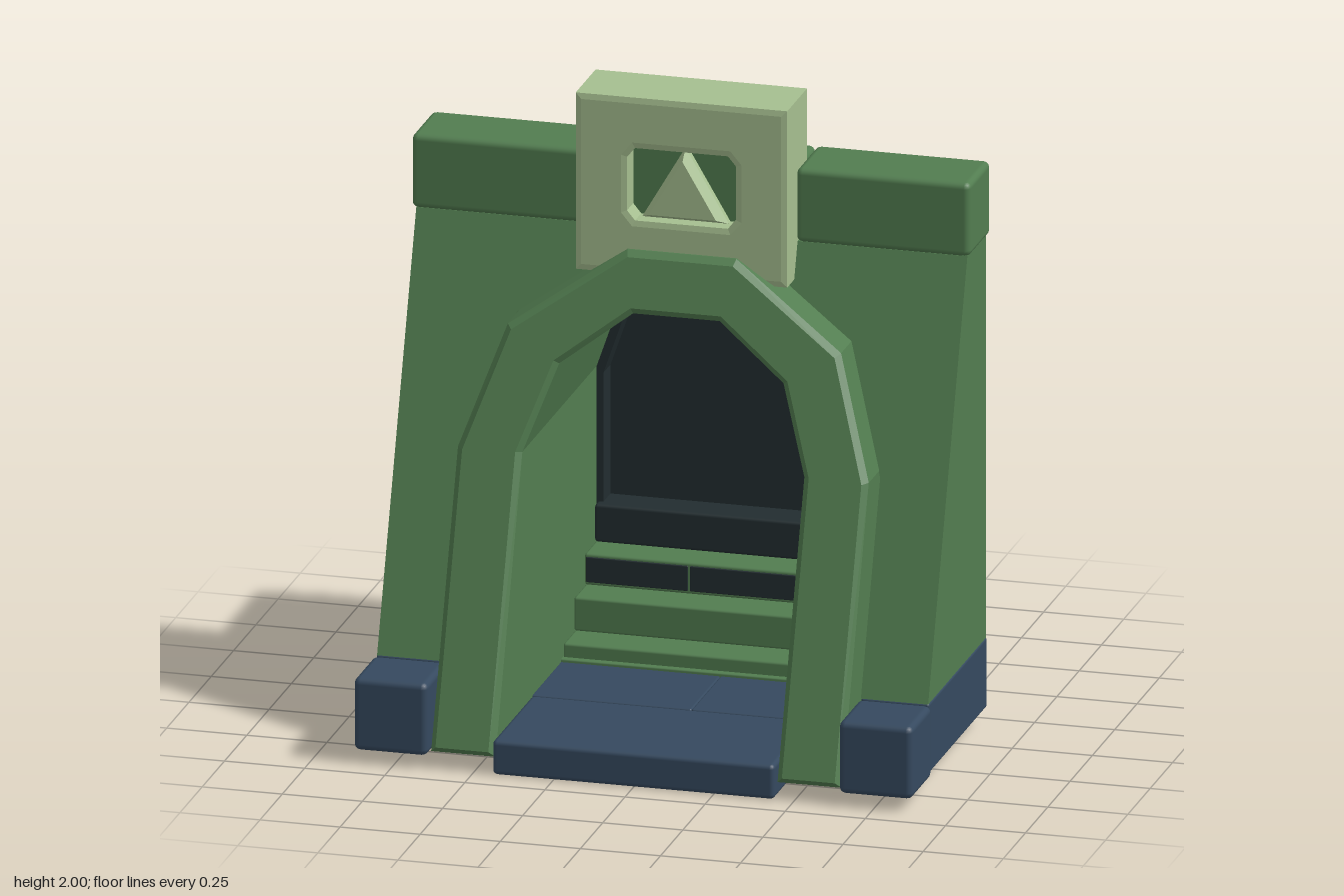
import * as THREE from 'three';
import { RoundedBoxGeometry } from 'three/addons/geometries/RoundedBoxGeometry.js';

const mat = (name, color) => new THREE.MeshStandardMaterial({ name, color });

// Half outlines of the arch on the +x side, from the foot to the crown
const OUTER = [[0.641, 0.05], [0.641, 0.92], [0.52, 1.28], [0.17, 1.52]];
const INNER = [[0.44, 0.05], [0.44, 0.92], [0.35, 1.18], [0.135, 1.34]];

const mirrored = (half) => [...half, ...half.map(([x, y]) => [-x, y]).reverse()];
const toShape = (pts) => new THREE.Shape(pts.map(([x, y]) => new THREE.Vector2(x, y)));

// Extrude a front outline from zBack to a front face whose depth depends on height
function extrudeTo(shape, zBack, frontAt, bevel = 0) {
  const geo = new THREE.ExtrudeGeometry(shape, {
    depth: 1, bevelEnabled: bevel > 0, bevelSize: bevel, bevelOffset: -bevel,
    bevelThickness: bevel, bevelSegments: 1,
  });
  const p = geo.attributes.position;
  for (let i = 0; i < p.count; i++) {
    const t = (p.getZ(i) + bevel) / (1 + 2 * bevel);
    p.setZ(i, zBack + t * (frontAt(p.getY(i)) - zBack));
  }
  geo.computeVertexNormals();
  return geo;
}

export function createModel() {
  const green = mat('mossGreenStone', 0x527d50);
  const pale = mat('paleGreenStone', 0xa6bf90);
  const blue = mat('slateBlueStone', 0x35495f);
  const dark = mat('darkDoorway', 0x222d30);
  const group = new THREE.Group();

  const add = (name, geo, material) => {
    const mesh = new THREE.Mesh(geo, material);
    mesh.name = name;
    group.add(mesh);
    return mesh;
  };
  // Block with softened edges, given by its minimum and maximum on each axis
  const block = (name, material, [x0, x1], [y0, y1], [z0, z1], r = 0.015) => {
    const mesh = add(name, new RoundedBoxGeometry(x1 - x0, y1 - y0, z1 - z0, 2, r), material);
    mesh.position.set((x0 + x1) / 2, (y0 + y1) / 2, (z0 + z1) / 2);
    return mesh;
  };

  // Buttress wall with a sloping front and an opening for the arch
  const opening = [[0.65, 0.27], [0.65, 0.9], [0.52, 1.28], [0.17, 1.515]];
  const wall = toShape([[-0.86, 0.27], [-0.86, 1.55], [0.86, 1.55], [0.86, 0.27], ...mirrored(opening)]);
  add('wall', extrudeTo(wall, -0.21, (y) => 0.533 - 0.344 * y), green);

  // Arched tunnel of chamfered stone
  const arch = toShape([...mirrored(OUTER), ...mirrored(INNER).reverse()]);
  add('arch', extrudeTo(arch, -0.665, (y) => 0.675 - 0.352 * y, 0.018), green).position.x = 0.004;

  // Dark lining and door panel at the back of the tunnel
  const shrunk = INNER.map(([x, y], i) => [x - 0.025, i ? y - 0.02 : y]);
  const lining = toShape([...mirrored(INNER), ...mirrored(shrunk).reverse()]);
  add('doorLining', extrudeTo(lining, -0.64, () => -0.5), dark);
  add('doorPanel', extrudeTo(toShape(mirrored(INNER)), -0.61, () => -0.58), dark);

  // Stairs rising to the door
  block('stairBase', green, [-0.44, 0.44], [0.05, 0.12], [-0.62, -0.1], 0.005);
  block('lowerStep', green, [-0.435, 0.435], [0.1, 0.163], [-0.6, -0.12], 0.008);
  block('middleStep', green, [-0.435, 0.435], [0.163, 0.27], [-0.6, -0.24], 0.008);
  block('upperStep', green, [-0.435, 0.435], [0.27, 0.37], [-0.6, -0.36], 0.008);
  block('upperStepRiserLeft', dark, [-0.105, 0.43], [0.28, 0.36], [-0.364, -0.356], 0.003);
  block('upperStepRiserRight', dark, [-0.43, -0.112], [0.28, 0.36], [-0.364, -0.356], 0.003);
  block('topStep', dark, [-0.435, 0.435], [0.37, 0.49], [-0.6, -0.47], 0.01);

  // Floor slabs
  block('frontSlab', blue, [-0.44, 0.44], [0, 0.11], [0.22, 0.66]);
  block('floorTileLeft', blue, [0.06, 0.44], [0, 0.11], [-0.11, 0.22], 0.006);
  block('floorTileRight', blue, [-0.44, 0.06], [0, 0.11], [-0.11, 0.22], 0.006);

  // Plinth stones and coping ends on both sides
  for (const s of [1, -1]) {
    const side = s > 0 ? 'Left' : 'Right';
    const span = (a, b) => (s > 0 ? [a, b] : [-b, -a]);
    block('cornerStone' + side, blue, span(0.642, 0.872), [0.04, 0.27], [0.44, 0.665], 0.02);
    block('plinth' + side, blue, span(0.65, 0.863), [0.05, 0.272], [-0.212, 0.44], 0.008);
    block('coping' + side, green, span(0.328, 0.872), [1.55, 1.785], [-0.22, 0.015], 0.02);
  }
  block('copingMiddle', green, [-0.328, 0.328], [1.55, 1.785], [-0.22, 0.015], 0.02);

  // Keystone with a chamfered recess
  const frame = toShape([[-0.33, 1.44], [0.33, 1.44], [0.33, 2], [-0.33, 2]]);
  const recess = [[0.145, 1.61], [0.17, 1.64], [0.17, 1.81], [0.145, 1.84]];
  frame.holes.push(new THREE.Path(mirrored(recess).map(([x, y]) => new THREE.Vector2(x, y))));
  add('keystoneFrame', extrudeTo(frame, -0.11, () => 0.12, 0.018), pale);
  block('keystoneCore', pale, [-0.25, 0.25], [1.52, 1.92], [-0.1105, 0.04], 0.001);
  block('recessPanel', green, [-0.18, 0.18], [1.6, 1.85], [0.039, 0.046], 0.002);

  // Raised triangle with sloping sides
  const triangle = new THREE.ExtrudeGeometry(toShape([[-0.135, 1.61], [0.135, 1.61], [0, 1.84]]), {
    depth: 0.02, bevelEnabled: true, bevelSize: 0.025, bevelOffset: -0.025,
    bevelThickness: 0.035, bevelSegments: 1,
  });
  add('triangleEmblem', triangle, pale).position.z = 0.05;

  return group;
}
